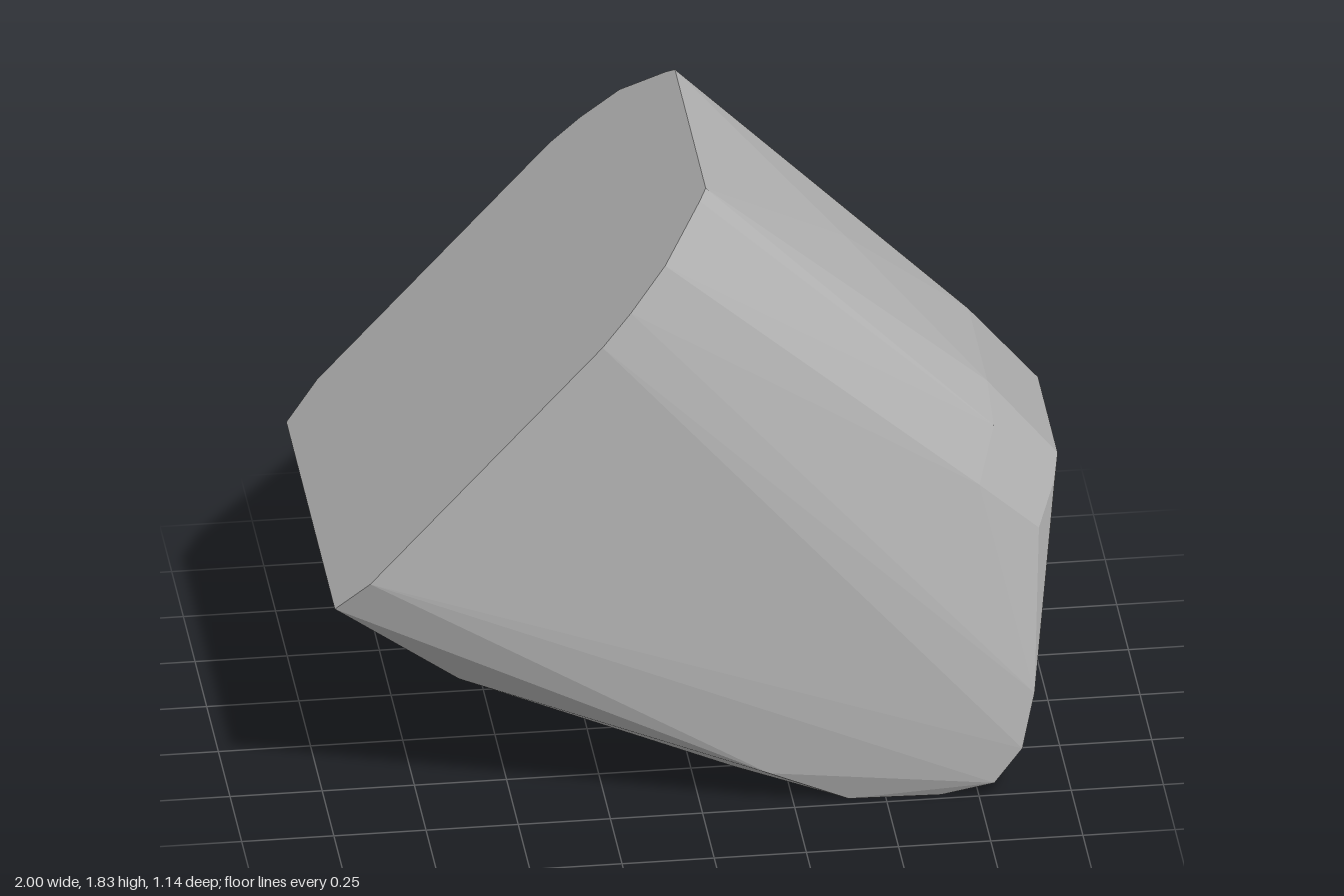
import * as THREE from 'three';
import { ConvexGeometry } from 'three/addons/geometries/ConvexGeometry.js';

export function createModel() {
  const group = new THREE.Group();
  const gray = new THREE.MeshStandardMaterial({ color: 0xb3b3b3 });
  gray.name = 'gray';

  // slanted flat cut: [x, half width], height follows the cut plane
  const capOutline = [[-1, 0.52], [-0.91, 0.57], [-0.28, 0.57], [-0.2, 0.545],
    [-0.1, 0.49], [0.01, 0.36], [0.03, 0.33]];
  const cap = capOutline.map(([x, z]) => [x, 0.71 + (x + 1) * 1.12 / 1.03, z]);

  // ridge running down from the cut to the blunt end
  const ridge = [[0.45, 1.47, 0], [0.81, 1.11, 0.2], [0.81, 1.05, 0.34], [0.76, 0.92, 0.43]];

  // blunt end and its rounded lower lip
  const end = [[1, 0.88, 0.21], [0.98, 0.86, 0.31], [0.925, 0.76, 0.4],
    [0.9, 0.31, 0.505], [0.865, 0.15, 0.52], [0.79, 0.045, 0.513], [0.65, 0, 0.48]];

  // rounded underside
  const underside = [[0.4, 0, 0.47], [0.1, 0.06, 0.36], [0.18, 0.11, 0.5],
    [-0.65, 0.35, 0.27], [-0.75, 0.43, 0.27], [-0.65, 0.41, 0.41]];

  // mirror front to back and wrap in faceted hull
  const points = [];
  for (const [x, y, z] of [...cap, ...ridge, ...end, ...underside]) {
    points.push(new THREE.Vector3(x, y, z));
    if (z > 0) points.push(new THREE.Vector3(x, y, -z));
  }
  const block = new THREE.Mesh(new ConvexGeometry(points), gray);
  block.name = 'facetedBlock';
  group.add(block);
  return group;
}
